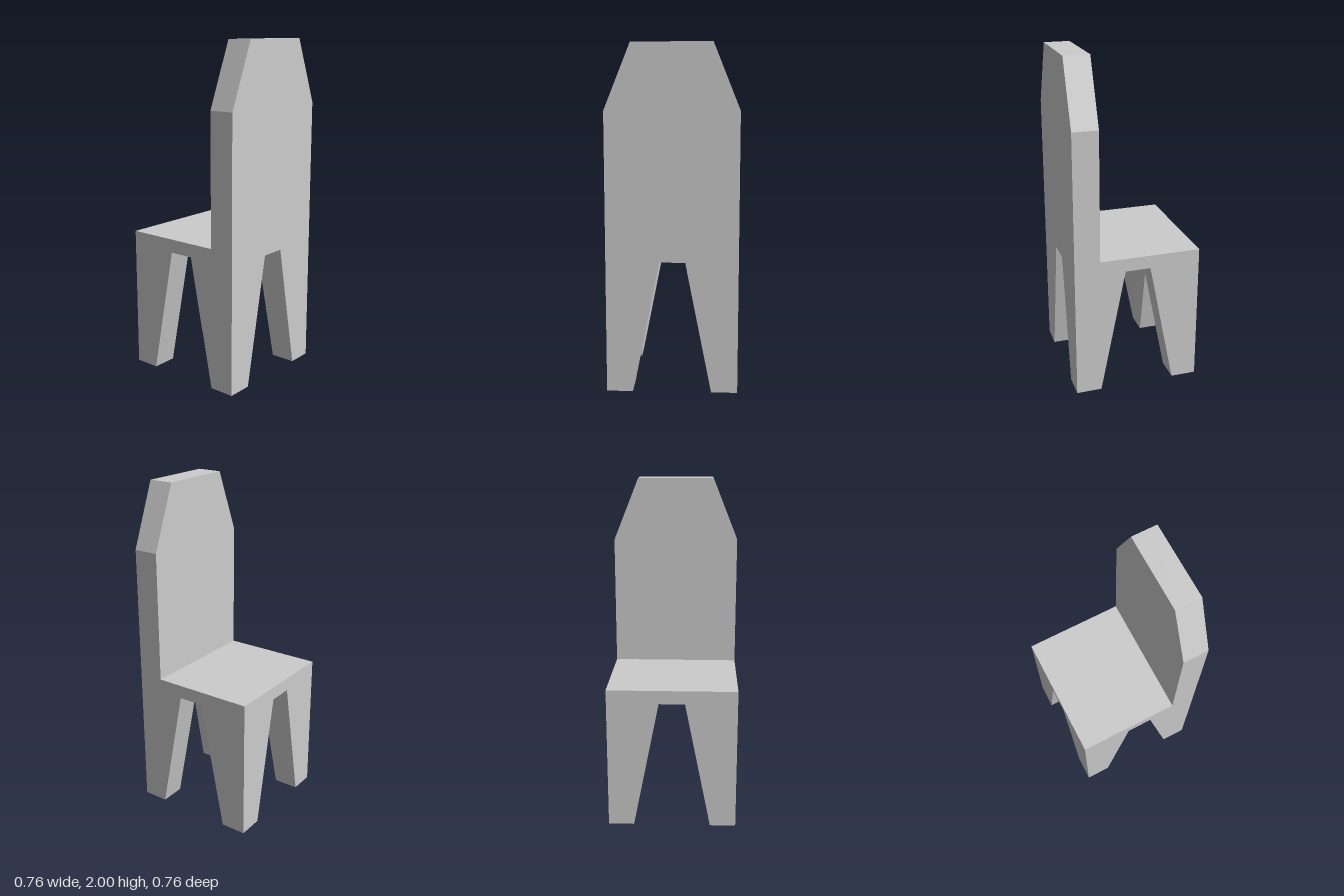
import * as THREE from 'three';

const W = 0.38, IN = 0.228, ARCH = 0.076;      // outer, inner and arch half widths
const SEAT = 0.85, ARCH_Y = 0.77, T = W - IN;  // seat top, arch top, wall thickness

export function createModel() {
  const group = new THREE.Group();
  const material = new THREE.MeshStandardMaterial({ color: 0xcccccc, flatShading: true });

  function add(name, geometry) {
    const mesh = new THREE.Mesh(geometry, material);
    mesh.name = name;
    group.add(mesh);
  }

  // Upright wall with a tapered arch cut between its legs
  function wall(half, upper) {
    const points = [[half, 0], ...upper, [-half, 0]];
    if (half > IN) points.push([-IN, 0]);
    points.push([-ARCH, ARCH_Y], [ARCH, ARCH_Y]);
    if (half > IN) points.push([IN, 0]);
    const shape = new THREE.Shape(points.map(([x, y]) => new THREE.Vector2(x, y)));
    return new THREE.ExtrudeGeometry(shape, { depth: T, bevelEnabled: false });
  }

  // Backrest and its two legs in one panel, with cut top corners
  const backTop = [[W, 1.625], [IN, 2], [-IN, 2], [-W, 1.625]];
  add('backrestAndBackLegs', wall(W, backTop).rotateY(Math.PI / 2).translate(IN, 0, 0));

  // Front legs and front edge of the seat
  add('frontLegs', wall(W, [[W, SEAT], [-W, SEAT]]).rotateY(Math.PI / 2).translate(-W, 0, 0));

  // Side aprons between the front and back legs
  const apron = [[IN, SEAT], [-IN, SEAT]];
  add('leftApron', wall(IN, apron).translate(0, 0, IN));
  add('rightApron', wall(IN, apron).translate(0, 0, -W));

  // Middle of the seat
  add('seat', new THREE.PlaneGeometry(2 * IN, 2 * IN).rotateX(-Math.PI / 2).translate(0, SEAT, 0));

  // Shallow vault under the seat and slanted inner corners of the legs
  const vault = [], corners = [];
  const turn = ([x, y, z]) => [-z, y, x];
  const apex = [0, 0.83, 0];
  let a = [IN, ARCH_Y, ARCH], b = [ARCH, ARCH_Y, IN], foot = [IN, 0, IN];
  for (let i = 0; i < 4; i++) {
    const next = turn(a);
    vault.push(...apex, ...a, ...b, ...apex, ...b, ...next);
    corners.push(...foot, ...b, ...a);
    a = next;
    b = turn(b);
    foot = turn(foot);
  }
  const faces = (list) => {
    const geometry = new THREE.BufferGeometry();
    geometry.setAttribute('position', new THREE.Float32BufferAttribute(list, 3));
    geometry.computeVertexNormals();
    return geometry;
  };
  add('seatUnderside', faces(vault));
  add('legInnerCorners', faces(corners));

  return group;
}
